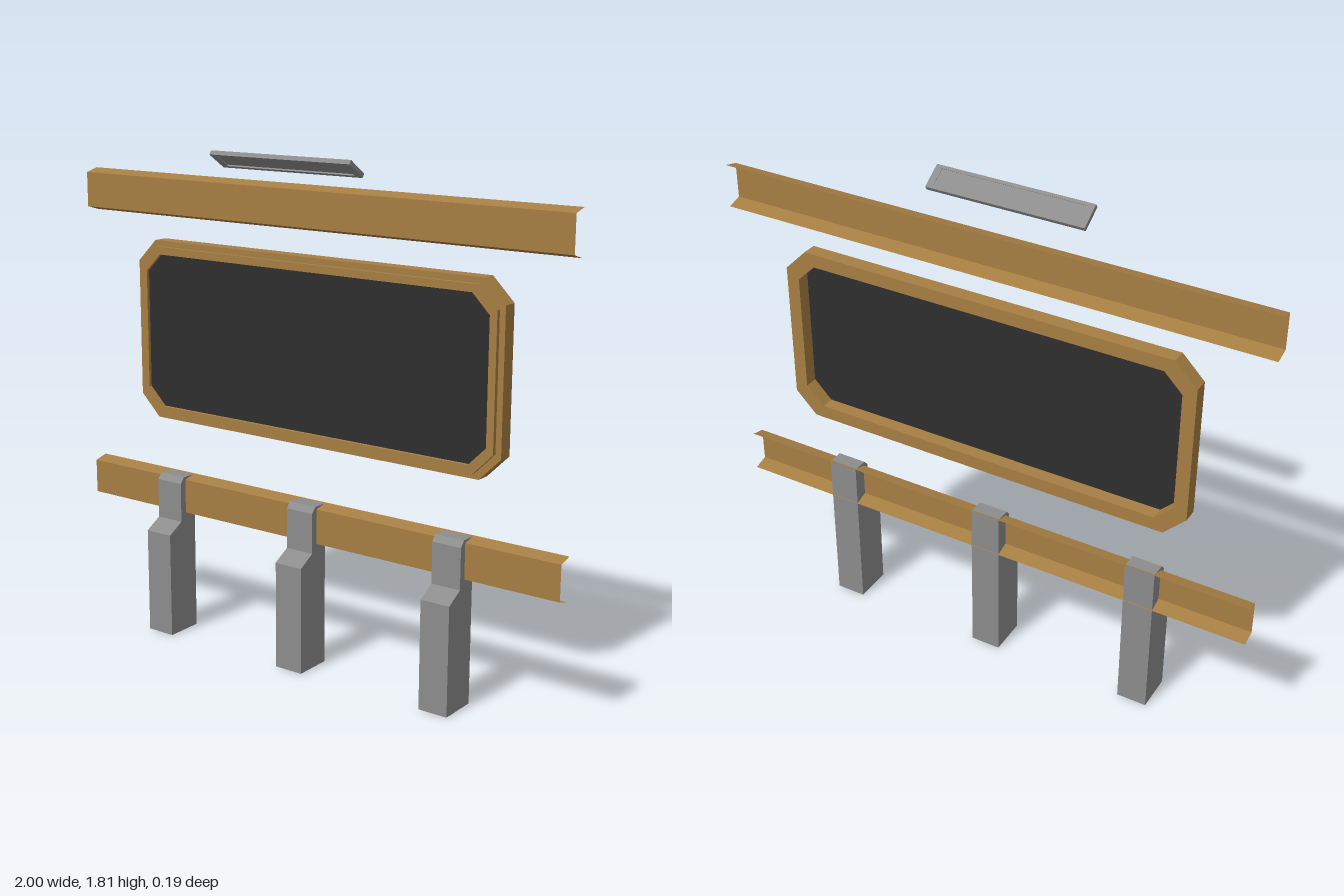
import * as THREE from 'three';

const mat = (name, color, side = THREE.FrontSide) => {
  const m = new THREE.MeshStandardMaterial({ color, side });
  m.name = name;
  return m;
};

// Rectangle with cut corners, centred on the origin
function cutRect(Type, hw, hh, c) {
  const s = new Type();
  s.setFromPoints([
    [hw, c - hh], [hw, hh - c], [hw - c, hh], [c - hw, hh],
    [-hw, hh - c], [-hw, c - hh], [c - hw, -hh], [hw - c, -hh],
  ].map(([x, y]) => new THREE.Vector2(x, y)));
  return s;
}

const extrude = (shape, depth) => new THREE.ExtrudeGeometry(shape, { depth, bevelEnabled: false });

// Thin folded sheet running along x, from a profile of [z, y] points
function foldedSheet(profile, length) {
  const pos = [];
  const h = length / 2;
  for (let i = 0; i < profile.length - 1; i++) {
    const [z0, y0] = profile[i], [z1, y1] = profile[i + 1];
    pos.push(-h, y0, z0, -h, y1, z1, h, y1, z1, -h, y0, z0, h, y1, z1, h, y0, z0);
  }
  const g = new THREE.BufferGeometry();
  g.setAttribute('position', new THREE.Float32BufferAttribute(pos, 3));
  g.computeVertexNormals();
  return g;
}

export function createModel() {
  const root = new THREE.Group();
  root.name = 'signStand';
  const brown = mat('brown paint', 0xa67e42, THREE.DoubleSide);
  const grey = mat('grey metal', 0x8c8c8c);
  const dark = mat('dark panel', 0x2e2e2e);

  const add = (parent, name, geo, material, x = 0, y = 0, z = 0) => {
    const m = new THREE.Mesh(geo, material);
    m.name = name;
    m.position.set(x, y, z);
    parent.add(m);
    return m;
  };

  // Channel beams, open at the back with flared flanges
  const beamGeo = foldedSheet([[-0.08, 0.077], [-0.028, 0.064], [-0.028, -0.062], [-0.08, -0.077]], 2);
  add(root, 'upperBeam', beamGeo, brown, 0, 1.62, 0);
  add(root, 'lowerBeam', beamGeo, brown, 0, 0.519, 0);

  // Framed board
  const board = new THREE.Group();
  board.name = 'board';
  board.position.set(0, 1.129, 0);
  root.add(board);
  const octagon = (Type, inset) => cutRect(Type, 0.764 - inset, 0.329 - inset, 0.08 - 0.3 * inset);
  const ring = (outer, inner, depth) => {
    const s = octagon(THREE.Shape, outer);
    s.holes.push(octagon(THREE.Path, inner));
    return extrude(s, depth);
  };
  add(board, 'frameBody', ring(0, 0.048, 0.054), brown, 0, 0, -0.097);
  add(board, 'frameLip', ring(0.021, 0.048, 0.015), brown, 0, 0, -0.043);
  add(board, 'boardPanel', extrude(octagon(THREE.Shape, 0.047), 0.008), dark, 0, 0, -0.048);

  // Three posts with a stepped front
  const side = new THREE.Shape([
    [0.063, 0], [0.063, 0.39], [-0.002, 0.427], [-0.002, 0.573],
    [-0.02, 0.594], [-0.078, 0.594], [-0.078, 0],
  ].map(([z, y]) => new THREE.Vector2(z, y)));
  const postGeo = extrude(side, 0.11).rotateY(-Math.PI / 2).translate(0.055, 0, 0);
  ['rightPost', 'middlePost', 'leftPost'].forEach((name, i) => {
    add(root, name, postGeo, grey, -0.605 + i * 0.6, 0, 0);
  });

  // Tilted lamp tray, recessed on its underside
  const lamp = new THREE.Group();
  lamp.name = 'lamp';
  lamp.position.set(-0.023, 1.776, 0.053);
  lamp.rotation.x = -0.576;
  root.add(lamp);
  const rim = cutRect(THREE.Shape, 0.287, 0.045, 0.001);
  rim.holes.push(cutRect(THREE.Path, 0.262, 0.033, 0.001));
  add(lamp, 'lampRim', extrude(rim, 0.016).rotateX(-Math.PI / 2), grey, 0, -0.008, 0);
  add(lamp, 'lampPlate', new THREE.BoxGeometry(0.526, 0.009, 0.068), grey, 0, 0.002, 0);

  return root;
}
